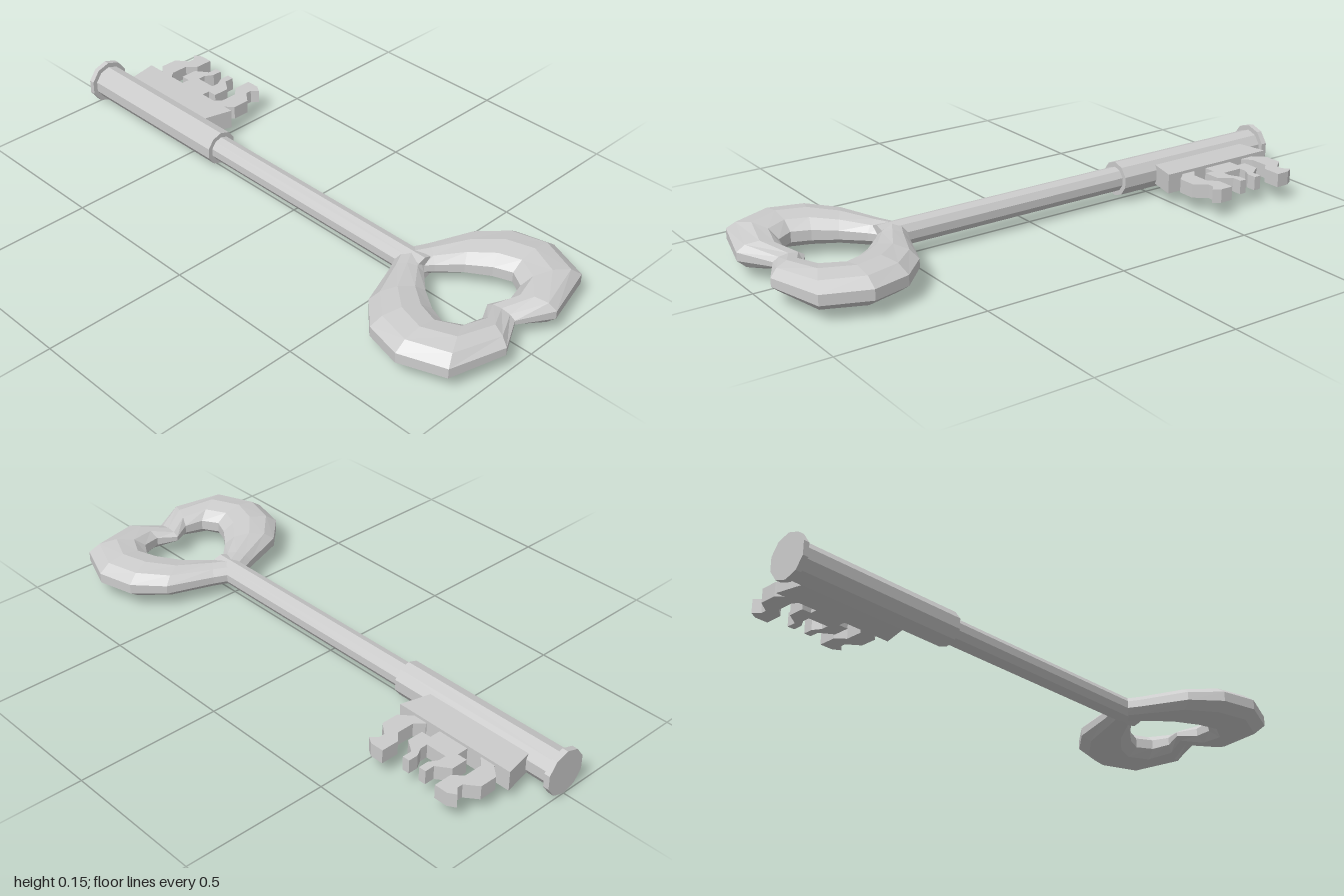
import * as THREE from 'three';

const AXIS_Y = 0.077;
const material = new THREE.MeshStandardMaterial({ color: 0xcccccc, flatShading: true });

function add(group, name, geometry) {
  const mesh = new THREE.Mesh(geometry, material);
  mesh.name = name;
  group.add(mesh);
}

// Ten-sided rod along z between two depths
function rod(radius, zBack, zFront) {
  return new THREE.CylinderGeometry(radius, radius, zFront - zBack, 10)
    .rotateX(Math.PI / 2)
    .translate(0, AXIS_Y, (zBack + zFront) / 2);
}

// Flat plate from an [x, -z] outline, centred on the key's axis height
function plate(points, thickness) {
  const shape = new THREE.Shape(points.map(([x, y]) => new THREE.Vector2(x, y)));
  return new THREE.ExtrudeGeometry(shape, { depth: thickness, bevelEnabled: false })
    .rotateX(-Math.PI / 2)
    .translate(0, AXIS_Y - thickness / 2, 0);
}

// Heart-shaped bow: ten-sided elliptical sections swept round a closed loop
function heartBow() {
  // outer x, outer z, inner x, inner z, half height
  const half = [
    [0, 0.93, 0, 0.825, 0.024],
    [0.116, 0.993, 0.065, 0.86, 0.045],
    [0.307, 0.94, 0.13, 0.845, 0.056],
    [0.365, 0.79, 0.163, 0.79, 0.057],
    [0.333, 0.66, 0.14, 0.73, 0.056],
    [0.243, 0.57, 0.09, 0.66, 0.048],
    [0.085, 0.51, 0.025, 0.595, 0.041],
    [0, 0.47, 0, 0.575, 0.04],
  ];
  const mirrored = half.slice(1, -1).reverse().map(([a, b, c, d, h]) => [-a, b, -c, d, h]);
  const rings = [...half, ...mirrored];
  const sides = 10;
  const positions = [];
  const index = [];
  rings.forEach(([ox, oz, ix, iz, h], i) => {
    for (let j = 0; j < sides; j++) {
      const angle = ((j - 0.5) / sides) * Math.PI * 2;
      const t = Math.cos(angle) / Math.cos(Math.PI / sides) / 2;
      positions.push(
        (ox + ix) / 2 + (ox - ix) * t,
        AXIS_Y + h * Math.sin(angle),
        (oz + iz) / 2 + (oz - iz) * t,
      );
      const n = (i + 1) % rings.length;
      const k = (j + 1) % sides;
      const a = i * sides + j, b = n * sides + j, c = n * sides + k, d = i * sides + k;
      index.push(a, b, c, a, c, d);
    }
  });
  const geometry = new THREE.BufferGeometry();
  geometry.setAttribute('position', new THREE.Float32BufferAttribute(positions, 3));
  geometry.setIndex(index);
  geometry.computeVertexNormals();
  return geometry;
}

export function createModel() {
  const key = new THREE.Group();
  key.name = 'key';

  add(key, 'bow', heartBow());
  add(key, 'shaft', rod(0.043, -0.4, 0.575));
  add(key, 'barrel', rod(0.06, -0.985, -0.36));
  add(key, 'endCap', rod(0.077, -1, -0.98));

  // Flared base of the bit
  add(key, 'bitBase', plate([[0.03, 0.505], [0.15, 0.474], [0.15, 0.917], [0.03, 0.893]], 0.068));

  // Teeth: outlines as [x, offset from the bit's middle]
  const middle = 0.696;
  const outer = [
    [0.14, 0.16], [0.153, 0.163], [0.185, 0.2], [0.247, 0.2], [0.28, 0.158], [0.302, 0.158],
    [0.323, 0.179], [0.339, 0.153], [0.339, 0.106], [0.275, 0.106], [0.245, 0.136],
    [0.182, 0.136], [0.153, 0.11], [0.14, 0.11],
  ];
  const prong = [
    [0.14, 0.056], [0.19, 0.056], [0.19, 0.09], [0.249, 0.09], [0.28, 0.046],
    [0.315, 0.046], [0.315, 0.02], [0.28, 0.02], [0.25, 0.037], [0.223, 0.037],
  ];
  const mirror = (points) => points.map(([x, y]) => [x, -y]).reverse();
  const teeth = { backTooth: outer, middleTooth: [...prong, ...mirror(prong)], frontTooth: mirror(outer) };
  for (const [name, points] of Object.entries(teeth)) {
    add(key, name, plate(points.map(([x, y]) => [x, y + middle]), 0.048));
  }
  return key;
}
